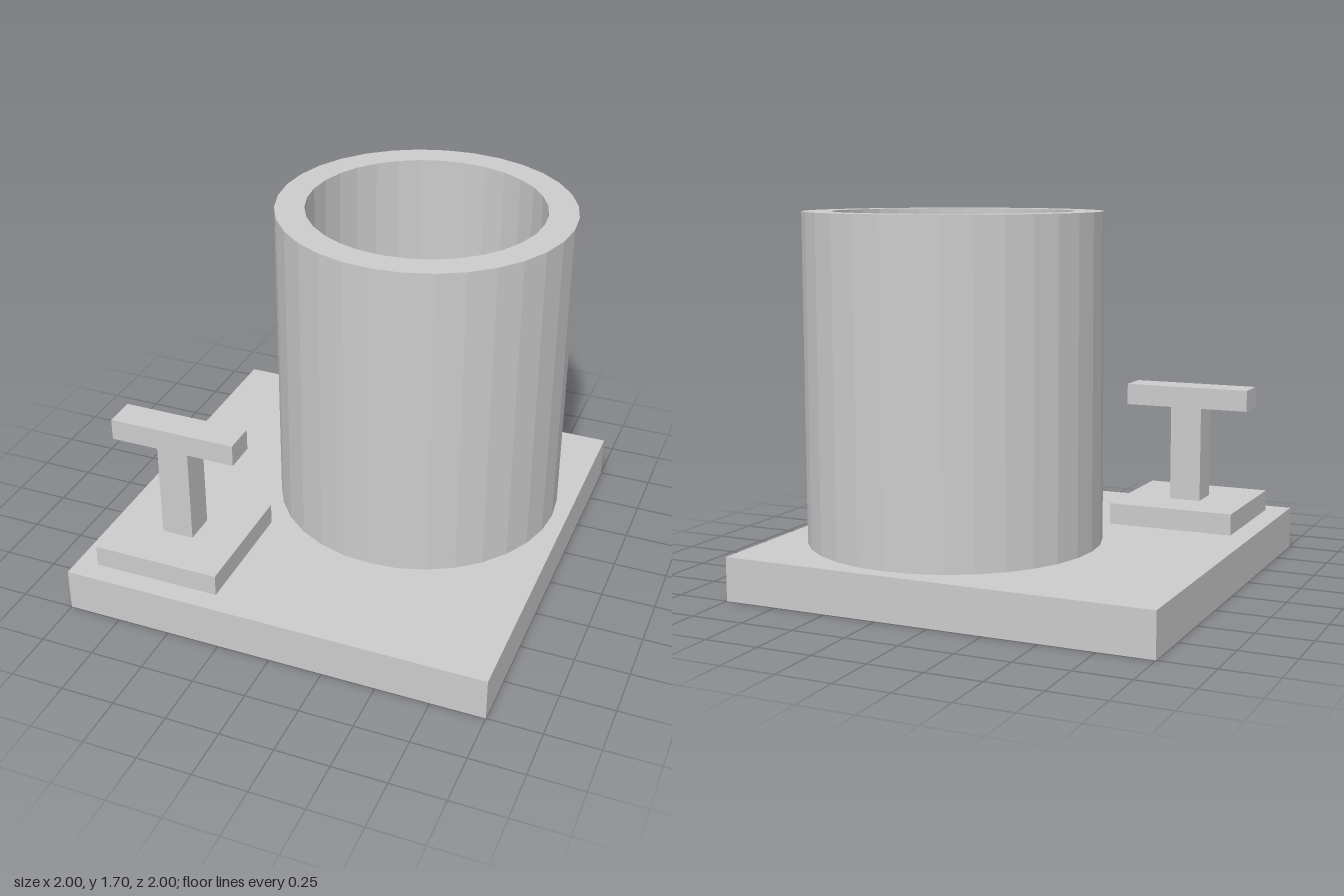
import * as THREE from 'three';

const material = new THREE.MeshStandardMaterial({ color: 0xcccccc, flatShading: true });

export function createModel() {
  const model = new THREE.Group();
  model.name = 'pedestalWithTube';

  // Box standing on height y, centred on x and z
  const addBox = (name, parent, width, height, depth, x, y, z) => {
    const mesh = new THREE.Mesh(new THREE.BoxGeometry(width, height, depth), material);
    mesh.name = name;
    mesh.position.set(x, y + height / 2, z);
    parent.add(mesh);
  };

  // Square base slab
  addBox('base', model, 2, 0.2, 2, 0, 0, 0);

  // Open, thick-walled tube: closed wall section turned around its axis
  const outer = 0.678, inner = 0.543, height = 1.5;
  const section = [
    [inner, 0], [outer, 0], [outer, height], [inner, height], [inner, 0],
  ].map(([r, y]) => new THREE.Vector2(r, y));
  const tube = new THREE.Mesh(new THREE.LatheGeometry(section, 32), material);
  tube.name = 'tube';
  tube.position.set(0.25, 0.2, -0.25);
  model.add(tube);

  // T-shaped stand on its own foot plate
  const stand = new THREE.Group();
  stand.name = 'stand';
  stand.position.set(-0.6, 0.2, 0.6);
  addBox('footPlate', stand, 0.6, 0.1, 0.6, 0, 0, 0);
  addBox('post', stand, 0.15, 0.45, 0.15, 0, 0.1, 0);
  addBox('crossbar', stand, 0.6, 0.1, 0.15, 0, 0.55, 0);
  model.add(stand);

  return model;
}
